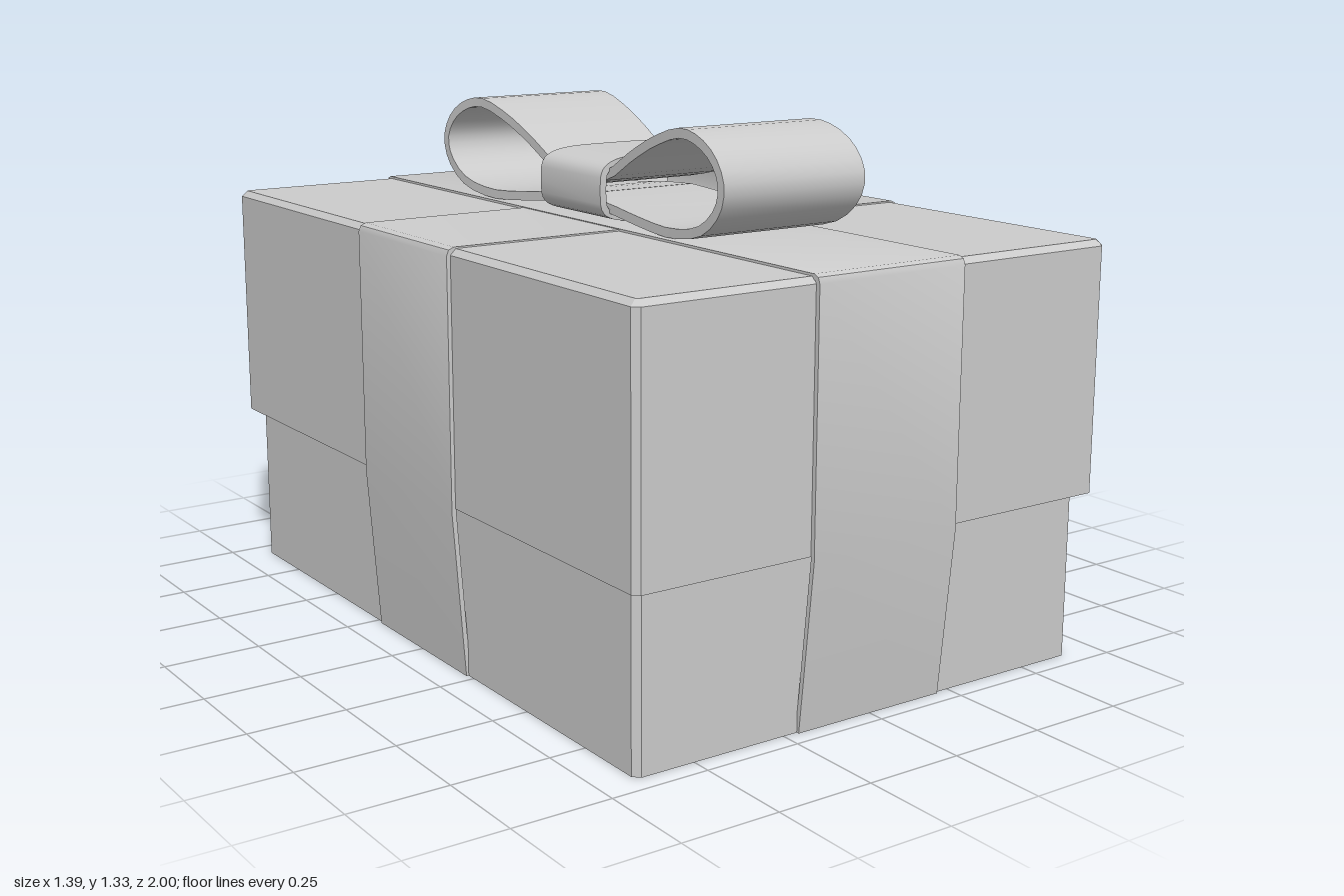
import * as THREE from 'three';
import { toCreasedNormals } from 'three/addons/utils/BufferGeometryUtils.js';

const material = new THREE.MeshStandardMaterial({ color: 0xcccccc });

function addMesh(group, name, geometry) {
  const mesh = new THREE.Mesh(geometry, material);
  mesh.name = name;
  group.add(mesh);
  return mesh;
}

// Block with chamfered upright corners and, if wanted, a chamfered top rim
function chamferedBlock(hx, hz, y0, y1, c, topBevel) {
  const shape = new THREE.Shape([
    [hx - c, -hz], [hx, -hz + c], [hx, hz - c], [hx - c, hz],
    [-hx + c, hz], [-hx, hz - c], [-hx, -hz + c], [-hx + c, -hz],
  ].map(([x, y]) => new THREE.Vector2(x, y)));
  const b = topBevel;
  const geometry = new THREE.ExtrudeGeometry(shape, {
    depth: y1 - y0 - b, bevelEnabled: b > 0, bevelThickness: b,
    bevelSize: b, bevelOffset: -b, bevelSegments: 1,
  });
  // Flatten the underside so only the top rim stays chamfered
  const p = geometry.attributes.position;
  for (let i = 0; i < p.count; i++) p.setZ(i, Math.max(0, p.getZ(i)));
  geometry.computeVertexNormals();
  return geometry.rotateX(-Math.PI / 2).translate(0, y0, 0);
}

// Ribbon following a counter-clockwise outer path in the XY plane, spread along Z.
// Its thickness grows inward; halfWidth(point) sets its width.
function ribbon(path, thickness, halfWidth, closed = false) {
  const n = path.length;
  const sections = path.map((p, i) => {
    const prev = path[closed ? (i + n - 1) % n : Math.max(i - 1, 0)];
    const next = path[closed ? (i + 1) % n : Math.min(i + 1, n - 1)];
    const t = p.clone().sub(prev).normalize().add(next.clone().sub(p).normalize());
    const miter = (p === prev || p === next ? 1 : 2) * thickness / t.lengthSq();
    const ix = p.x - t.y * miter, iy = p.y + t.x * miter;
    const w = halfWidth(p);
    return [[p.x, p.y, -w], [p.x, p.y, w], [ix, iy, w], [ix, iy, -w]];
  });
  const positions = [];
  const quad = (a, b, c, d) => positions.push(...a, ...b, ...c, ...a, ...c, ...d);
  for (let i = 0; i < (closed ? n : n - 1); i++) {
    const s = sections[i], e = sections[(i + 1) % n];
    for (let k = 0; k < 4; k++) quad(s[k], e[k], e[(k + 1) % 4], s[(k + 1) % 4]);
  }
  if (!closed) {
    quad(...sections[0]);
    quad(...[...sections[n - 1]].reverse());
  }
  const geometry = new THREE.BufferGeometry();
  geometry.setAttribute('position', new THREE.Float32BufferAttribute(positions, 3));
  return toCreasedNormals(geometry, 0.6);
}

// Path up one side of the box, over the lid and down the other side
function strapPath(foot, reach, top) {
  const side = [
    [foot, 0], [reach, 0.42], [reach, top - 0.02],
    [reach - 0.006, top - 0.006], [reach - 0.02, top],
  ];
  const mirrored = side.map(([x, y]) => [-x, y]).reverse();
  return [...side, ...mirrored].map(([x, y]) => new THREE.Vector2(x, y));
}

export function createModel() {
  const model = new THREE.Group();
  model.name = 'giftBox';

  // Box and overhanging lid
  addMesh(model, 'base', chamferedBlock(0.657, 0.95, 0, 0.6, 0.016, 0));
  addMesh(model, 'lid', chamferedBlock(0.684, 0.988, 0.43, 1.06, 0.015, 0.015));

  // Straps crossing on the lid
  addMesh(model, 'crossStrap', ribbon(strapPath(0.663, 0.694, 1.064), 0.012, () => 0.226));
  addMesh(model, 'lengthStrap', ribbon(strapPath(0.957, 1, 1.066), 0.012, () => 0.212))
    .rotation.y = -Math.PI / 2;

  // Bow loops, narrowing towards the knot
  const loopCurve = new THREE.SplineCurve([
    [0, 1.1], [0.14, 1.09], [0.28, 1.075], [0.42, 1.067], [0.55, 1.088],
    [0.63, 1.145], [0.652, 1.215], [0.615, 1.28], [0.54, 1.322], [0.45, 1.332],
    [0.33, 1.297], [0.22, 1.247], [0.13, 1.2], [0, 1.17],
  ].map(([x, y]) => new THREE.Vector2(x, y)));
  const loopPath = loopCurve.getPoints(32);
  const loopGeometry = ribbon(loopPath, 0.024, (p) => 0.172 + 0.058 * p.x);
  for (const [name, turn] of [['frontLoop', -1], ['backLoop', 1]]) {
    addMesh(model, name, loopGeometry).rotation.y = turn * Math.PI / 2;
  }

  // Knot: rounded band wrapped around the loops, pinched in the middle
  const power = (v, e) => Math.sign(v) * Math.abs(v) ** e;
  const knotPath = [];
  for (let i = 0; i < 40; i++) {
    const a = (i / 40) * Math.PI * 2;
    knotPath.push(new THREE.Vector2(
      0.21 * power(Math.cos(a), 0.5), 1.148 + 0.084 * power(Math.sin(a), 0.5)));
  }
  addMesh(model, 'knot', ribbon(knotPath, 0.018, (p) => 0.128 + 0.012 * (p.x / 0.21) ** 2, true));

  return model;
}
